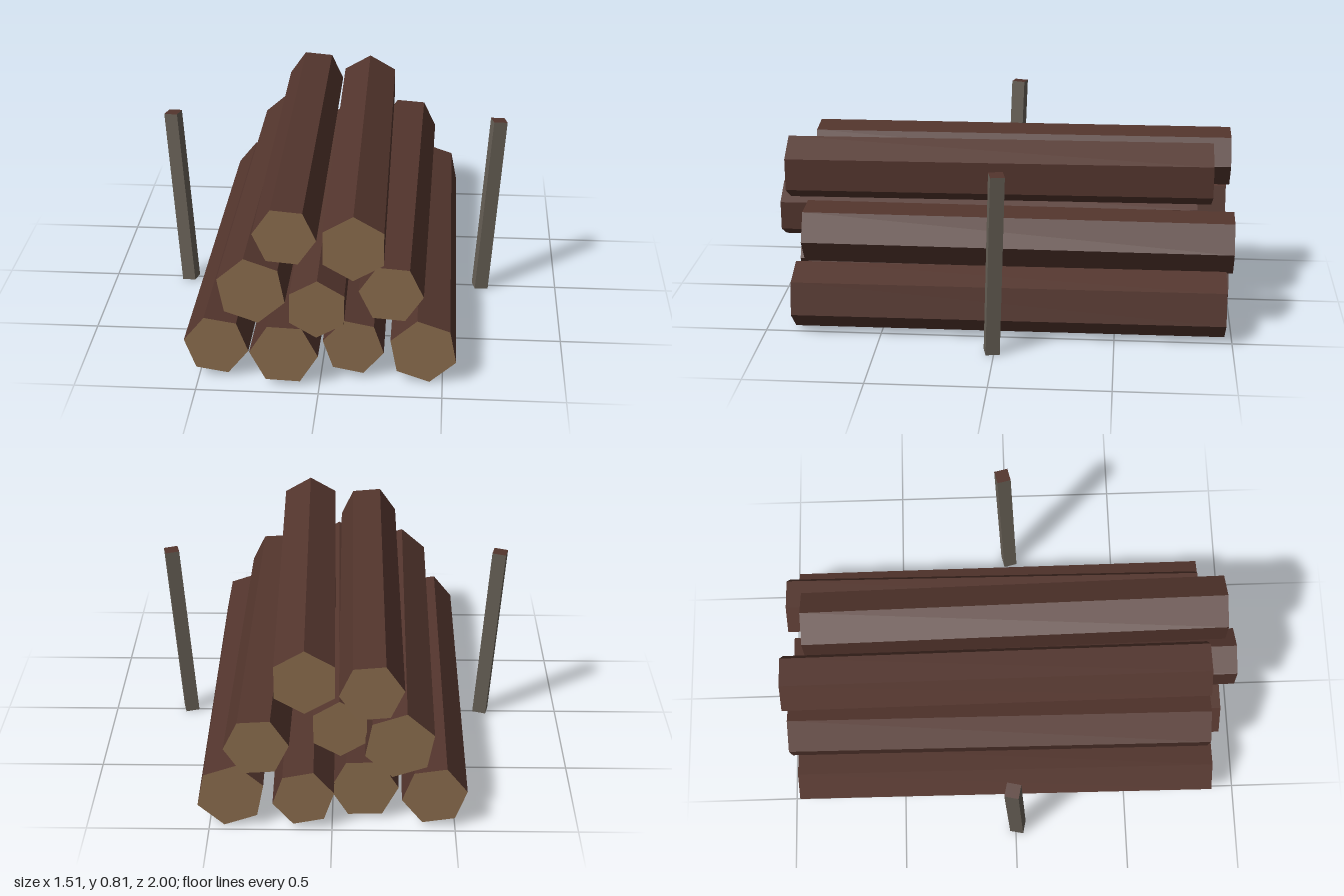
import * as THREE from 'three';

const LENGTH = 1.85;

export function createModel() {
  const mat = (name, color) => {
    const m = new THREE.MeshStandardMaterial({ color, flatShading: true });
    m.name = name;
    return m;
  };
  const bark = mat('bark', 0x53352d);
  const cutWood = mat('cutWood', 0x896b4c);
  const postWood = mat('weatheredWood', 0x665f55);

  const model = new THREE.Group();
  model.name = 'logPile';

  // Hexagonal logs: front x, y, radius, roll in degrees, sideways drift of the back end, front z
  const logs = [
    [-0.427, 0.144, 0.134, -9, 0.012, 0.885],
    [-0.145, 0.144, 0.140, -2, 0.015, 0.94],
    [0.134, 0.143, 0.127, -11, -0.018, 0.86],
    [0.420, 0.143, 0.142, -19, -0.008, 0.88],
    [-0.283, 0.388, 0.146, -19, 0.013, 0.865],
    [-0.005, 0.386, 0.126, 29, -0.026, 1.0],
    [0.285, 0.385, 0.132, -4, 0.017, 0.85],
    [-0.146, 0.628, 0.130, -5, -0.011, 0.855],
    [0.136, 0.628, 0.140, 30, -0.025, 0.942],
  ];
  const pile = new THREE.Group();
  pile.name = 'logs';
  logs.forEach(([x, y, r, roll, drift, front], i) => {
    const start = THREE.MathUtils.degToRad(roll + 90);
    const geo = new THREE.CylinderGeometry(r, r, LENGTH, 6, 1, false, start).rotateX(Math.PI / 2);
    const log = new THREE.Mesh(geo, [bark, cutWood, cutWood]);
    log.name = `log${i + 1}`;
    log.position.set(x + drift / 2, y, front - LENGTH / 2);
    log.rotation.y = Math.atan2(-drift, LENGTH);
    pile.add(log);
  });
  model.add(pile);

  // Side stakes lean outwards and slightly back, with bark-coloured ends
  const up = new THREE.Vector3(0, 1, 0);
  for (const side of [1, -1]) {
    const bottom = new THREE.Vector3(side * 0.66, 0.003, 0.01);
    const top = new THREE.Vector3(side * 0.718, 0.804, -0.016);
    const axis = top.clone().sub(bottom);
    const geo = new THREE.BoxGeometry(0.06, axis.length(), 0.06);
    const post = new THREE.Mesh(geo, [postWood, postWood, bark, bark, postWood, postWood]);
    post.name = side > 0 ? 'leftPost' : 'rightPost';
    post.position.copy(bottom).add(top).multiplyScalar(0.5);
    post.quaternion.setFromUnitVectors(up, axis.normalize());
    post.rotateY(side * 0.22);
    model.add(post);
  }
  return model;
}
